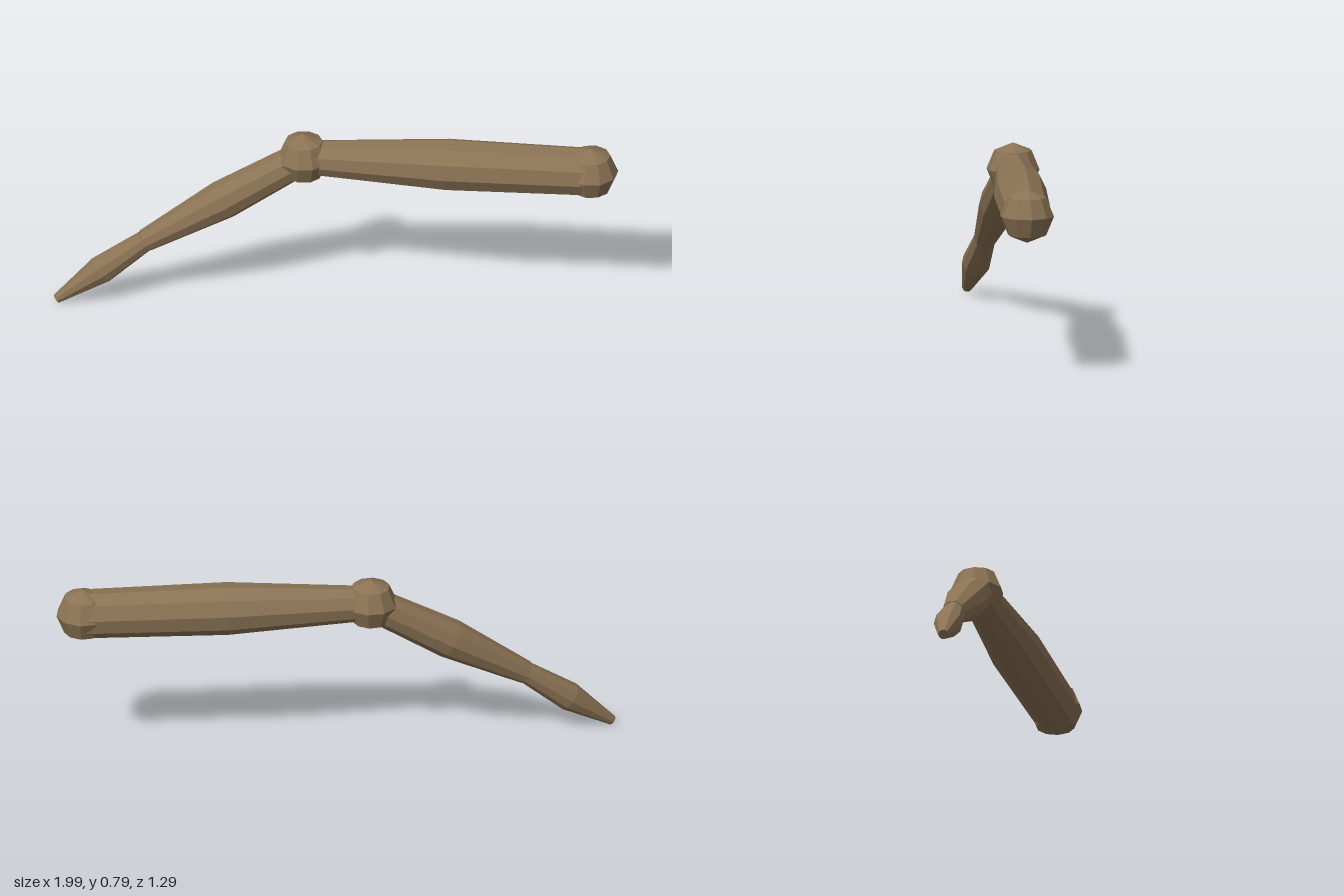
import * as THREE from 'three';

const SIDES = 10;

export function createModel() {
  const model = new THREE.Group();
  model.name = 'jointedLimb';

  const brown = new THREE.MeshStandardMaterial({ color: 0x8b7355 });
  brown.name = 'brown';
  brown.flatShading = true;

  // Joint positions from the upper end to the tip
  const shoulder = new THREE.Vector3(0.88, 0.68, -0.54);
  const elbow = new THREE.Vector3(-0.165, 0.68, 0.025);
  const wrist = new THREE.Vector3(-0.695, 0.287, 0.405);
  const tip = new THREE.Vector3(-0.985, 0.018, 0.628);

  // Faceted ball joint
  const addJoint = (name, centre, radius) => {
    const ball = new THREE.Mesh(new THREE.SphereGeometry(radius, SIDES, 4), brown);
    ball.name = name;
    ball.position.copy(centre);
    model.add(ball);
  };

  // Capped segment: radii at the start, at the bulge (fraction t) and at the end
  const addSegment = (name, from, to, r0, rMid, r1, t) => {
    const axis = to.clone().sub(from);
    const length = axis.length();
    const profile = [[0, 0], [r0, 0], [rMid, t * length], [r1, length], [0, length]];
    const geometry = new THREE.LatheGeometry(
      profile.map(([r, y]) => new THREE.Vector2(r, y)), SIDES);
    const mesh = new THREE.Mesh(geometry, brown);
    mesh.name = name;
    mesh.position.copy(from);
    mesh.quaternion.setFromUnitVectors(new THREE.Vector3(0, 1, 0), axis.normalize());
    model.add(mesh);
  };

  addJoint('shoulderJoint', shoulder, 0.112);
  addSegment('upperSegment', elbow, shoulder, 0.071, 0.109, 0.101, 0.5);
  addJoint('elbowJoint', elbow, 0.11);
  addSegment('lowerSegment', elbow, wrist, 0.07, 0.083, 0.048, 0.51);
  addSegment('tipSegment', wrist, tip, 0.045, 0.06, 0.02, 0.5);

  return model;
}
